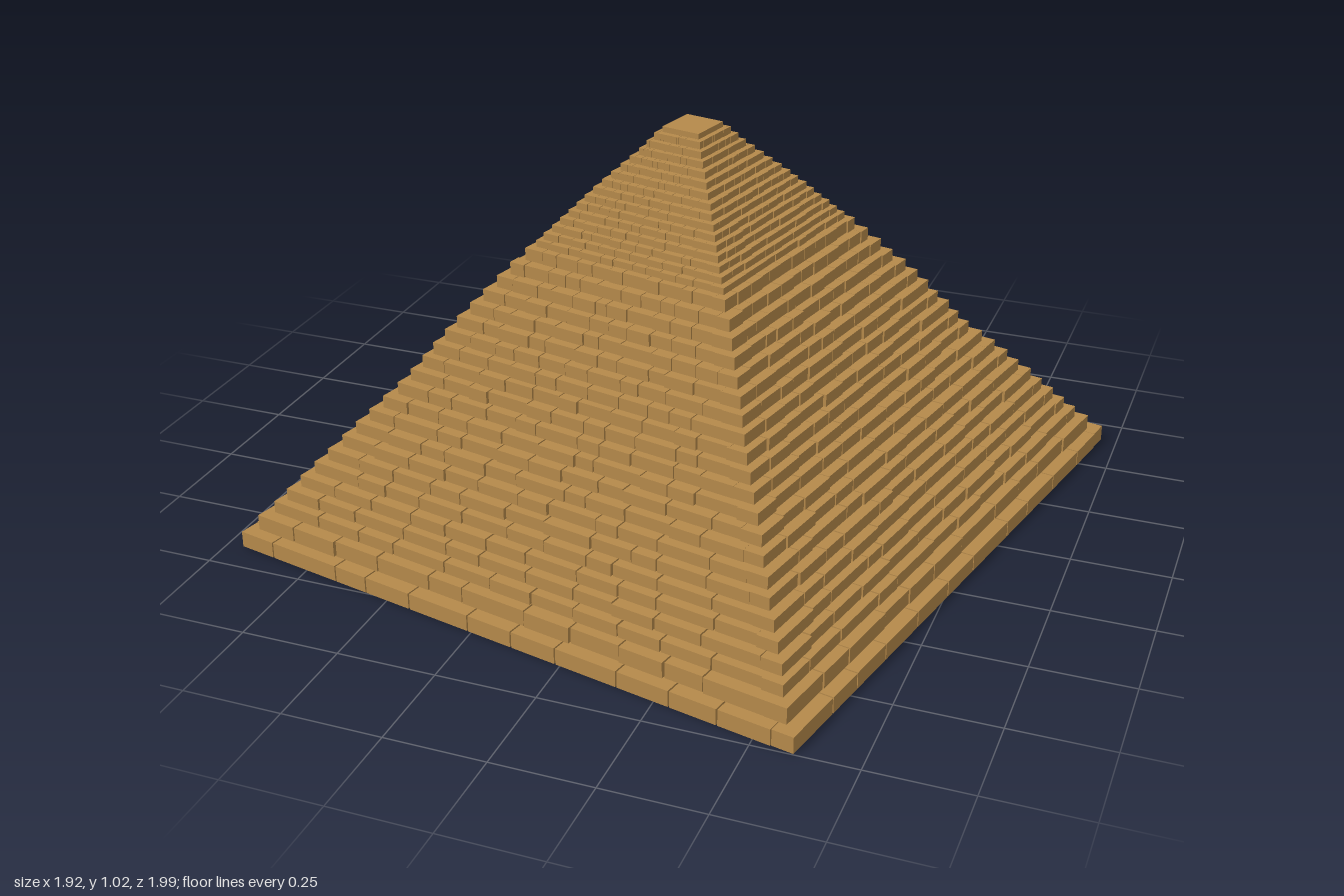
import * as THREE from 'three';
import { mergeGeometries } from 'three/addons/utils/BufferGeometryUtils.js';

const HALF_X = 0.798, HALF_Z = 0.85, TOP = 1.018, BLOCKS = 11;

// Outline: [height, size relative to the base]
const OUTLINE = [[0, 1], [0.02, 1], [0.06, 0.965], [0.2, 0.835], [0.3, 0.74], [0.4, 0.64], [0.54, 0.53],
  [0.65, 0.43], [0.77, 0.315], [0.87, 0.215], [0.96, 0.115], [1.02, 0.06]];

function sizeAt(y) {
  const i = Math.max(1, OUTLINE.findIndex(p => p[0] >= y));
  const [y0, s0] = OUTLINE[i - 1], [y1, s1] = OUTLINE[i];
  return s0 + (s1 - s0) * (y - y0) / (y1 - y0);
}

let seed = 7;
function rand() {
  seed = (seed * 16807) % 2147483647;
  return seed / 2147483647;
}

// One hollow rectangular ring of stones; the four sides overlap pinwheel fashion
function courseGeometry(y, h, halfX, halfZ, width, rough) {
  const stones = [];
  for (let side = 0; side < 4; side++) {
    const [along, out] = side % 2 ? [halfZ, halfX] : [halfX, halfZ];
    const start = -along, length = 2 * along - width;
    const joints = [];
    for (let i = 0; i <= BLOCKS; i++) {
      const shift = i === 0 || i === BLOCKS ? 0 : (rand() - 0.5) * 0.5;
      joints.push(start + length * (i + shift) / BLOCKS);
    }
    for (let i = 0; i < BLOCKS; i++) {
      const gap = Math.min(0.004, length * 0.003);
      const inset = rand() * rough;
      const stone = new THREE.BoxGeometry(joints[i + 1] - joints[i] - gap, h - rand() * rough * 0.3, width);
      stone.translate((joints[i] + joints[i + 1]) / 2, y + h / 2, out - width / 2 - inset);
      stone.rotateY(side * Math.PI / 2);
      stones.push(stone);
    }
  }
  return mergeGeometries(stones);
}

export function createModel() {
  const model = new THREE.Group();
  model.name = 'steppedPyramid';
  model.rotation.y = -0.214;
  const material = new THREE.MeshStandardMaterial({ color: 0xb5894a });

  // Courses: tall at the foot, thin near the summit
  let y = 0, n = 0;
  while (y < TOP - 0.03) {
    const h = n < 2 ? 0.042 : y < 0.72 ? 0.0325 : 0.018;
    const s = sizeAt(y + h / 2);
    const width = Math.min(y < 0.66 ? 0.055 : 0.035, HALF_X * s * 0.7);
    const course = new THREE.Mesh(
      courseGeometry(y, h, HALF_X * s, HALF_Z * s, width, n ? 0.007 * Math.min(1, s * 2) : 0), material);
    course.name = `course${++n}`;
    model.add(course);
    y += h;
  }

  // Flat capstone closing the summit
  const cap = new THREE.Mesh(new THREE.BoxGeometry(HALF_X * 0.13, TOP - y, HALF_Z * 0.13), material);
  cap.name = 'capstone';
  cap.position.y = (y + TOP) / 2;
  model.add(cap);
  return model;
}
